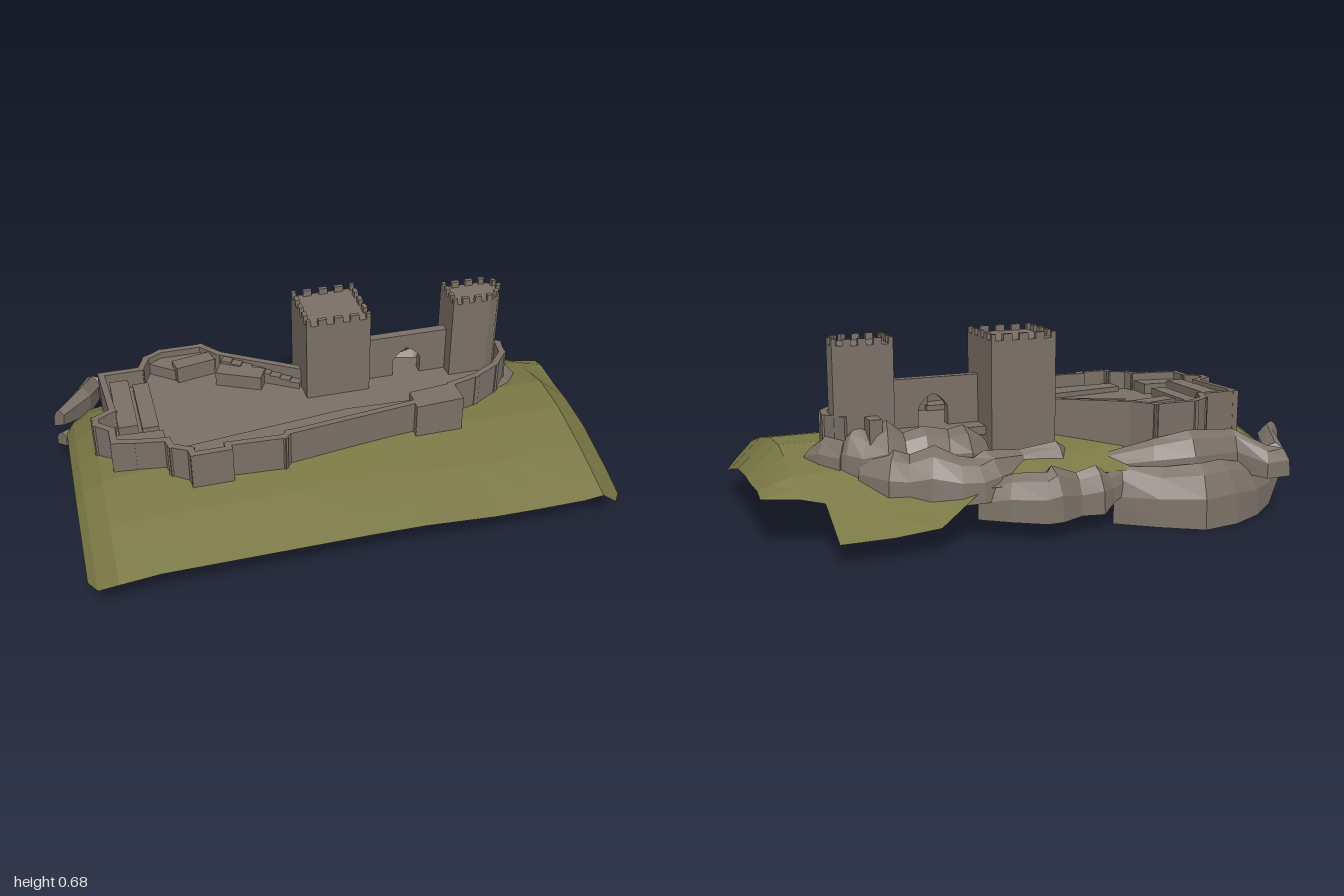
import * as THREE from 'three';

const stone = new THREE.MeshStandardMaterial({ color: 0x7a7066, side: THREE.DoubleSide });
stone.name = 'stone';
const grass = new THREE.MeshStandardMaterial({ color: 0x797744, side: THREE.DoubleSide });
grass.name = 'grass';

// Linear interpolation through [position, value] pairs
function ramp(pairs, t) {
  if (t <= pairs[0][0]) return pairs[0][1];
  for (let i = 1; i < pairs.length; i++) {
    const [a, va] = pairs[i - 1], [b, vb] = pairs[i];
    if (t <= b) return va + (vb - va) * (t - a) / (b - a);
  }
  return pairs[pairs.length - 1][1];
}

function add(parent, name, geometry, material = stone) {
  const mesh = new THREE.Mesh(geometry, material);
  mesh.name = name;
  parent.add(mesh);
  return mesh;
}

// Faceted surface from rows of points
function facets(grid, closed, caps) {
  const pos = [];
  const tri = (...p) => p.forEach(v => pos.push(...v));
  for (let i = 0; i < grid.length - 1; i++) {
    const n = grid[i].length;
    for (let j = 0; j < (closed ? n : n - 1); j++) {
      const k = (j + 1) % n;
      const a = grid[i][j], b = grid[i][k], c = grid[i + 1][k], d = grid[i + 1][j];
      tri(a, b, c);
      tri(a, c, d);
    }
  }
  if (caps) {
    const s = grid[0], e = grid[grid.length - 1];
    for (let j = 1; j < s.length - 1; j++) {
      tri(s[0], s[j + 1], s[j]);
      tri(e[0], e[j], e[j + 1]);
    }
  }
  const g = new THREE.BufferGeometry();
  g.setAttribute('position', new THREE.Float32BufferAttribute(pos, 3));
  g.computeVertexNormals();
  return g;
}

// Upright prism on an [x, z] outline
function prism(points, y0, y1) {
  const shape = new THREE.Shape(points.map(([x, z]) => new THREE.Vector2(x, -z)));
  const g = new THREE.ExtrudeGeometry(shape, { depth: y1 - y0, bevelEnabled: false });
  return g.rotateX(-Math.PI / 2).translate(0, y0, 0);
}

// Straight wall block from p to q
function wall(p, q, thick, y0, y1, extend = 0) {
  const dx = q[0] - p[0], dz = q[1] - p[1];
  const g = new THREE.BoxGeometry(Math.hypot(dx, dz) + extend, y1 - y0, thick);
  g.rotateY(-Math.atan2(dz, dx));
  return g.translate((p[0] + q[0]) / 2, (y0 + y1) / 2, (p[1] + q[1]) / 2);
}

// Tower with flat roof and merlons
function tower(name, outline, base, spacing) {
  const group = new THREE.Group();
  group.name = name;
  add(group, name + 'Body', prism(outline, base, 0.657));
  outline.forEach((p, i) => {
    const q = outline[(i + 1) % outline.length];
    const dx = q[0] - p[0], dz = q[1] - p[1], len = Math.hypot(dx, dz);
    const at = t => [p[0] + dx * t + dz / len * 0.008, p[1] + dz * t - dx / len * 0.008];
    const n = Math.max(1, Math.round(len / spacing));
    for (let k = 0; k <= n; k++) {
      const lo = Math.max(0, (k - 0.27) / n), hi = Math.min(1, (k + 0.27) / n);
      add(group, name + 'Merlon', wall(at(lo), at(hi), 0.016, 0.657, 0.68));
    }
  });
  return group;
}

// Craggy ridge through stations [x, z, bottom, top, depth]
function crag(stations) {
  const section = [[0, 0], [0.06, 0.5], [0.3, 0.85], [0.6, 1], [1, 0.75], [0.85, 0.15]];
  return facets(stations.map(([x, z, y0, y1, d], i) => {
    const a = stations[Math.max(0, i - 1)], b = stations[Math.min(stations.length - 1, i + 1)];
    const tx = b[0] - a[0], tz = b[1] - a[1], l = Math.hypot(tx, tz);
    return section.map(([o, h]) => [x - tz / l * o * d, y0 + (y1 - y0) * h, z + tx / l * o * d]);
  }), true, true);
}

// Height of the hill, steeper at the back of its east half
function ground(x, z) {
  const west = [[-0.42, 0.19], [-0.3, 0.25], [-0.15, 0.285], [0.05, 0.3], [0.2, 0.3], [0.4, 0.255], [0.62, 0.195]];
  const east = [[-0.51, 0.08], [-0.35, 0.155], [-0.2, 0.235], [0.03, 0.29], [0.2, 0.28], [0.4, 0.235], [0.62, 0.17]];
  const mix = ramp([[0.15, 0], [0.5, 1]], x);
  const westDrop = ramp([[-0.96, 0.1], [-0.93, 0.06], [-0.86, 0.015], [-0.72, 0]], x);
  const eastDrop = ramp([[0.88, 0], [1, 1]], x) * ramp([[-0.26, 0.02], [0, 0.1], [0.52, 0.12]], z);
  return ramp(west, z) * (1 - mix) + ramp(east, z) * mix - westDrop - eastDrop;
}

// Hillside sheet, its rows clamped to the front and back outlines
function hillside() {
  const xs = [-0.96, -0.93, -0.86, -0.72, -0.55, -0.38, -0.2, 0, 0.2, 0.27, 0.46, 0.62, 0.8, 0.801, 0.88, 0.95, 1];
  const zs = [-0.51, -0.42, -0.35, -0.3, -0.26, -0.2, -0.15, -0.06, 0.03, 0.12, 0.2, 0.3, 0.4, 0.52, 0.62];
  const front = [[-0.96, 0.52], [-0.93, 0.59], [-0.86, 0.62], [0.86, 0.62], [0.95, 0.59], [1, 0.52]];
  const back = [[-0.96, -0.33], [-0.75, -0.42], [0.2, -0.42], [0.27, -0.4], [0.46, -0.51], [0.8, -0.51], [0.801, -0.33], [1, -0.26]];
  return facets(xs.map(x => zs.map(row => {
    const z = Math.min(Math.max(row, ramp(back, x)), ramp(front, x));
    return [x, ground(x, z), z];
  })), false, false);
}

export function createModel() {
  const model = new THREE.Group();
  model.name = 'hilltopCastle';
  add(model, 'hillside', hillside(), grass);

  // Cliff rocks behind the castle
  const cliffs = {
    lowerWestCliff: [[-1, -0.33, 0.09, 0.16, 0.06], [-0.87, -0.44, 0, 0.16, 0.12], [-0.75, -0.54, 0, 0.19, 0.14],
      [-0.62, -0.6, 0, 0.22, 0.15], [-0.48, -0.62, 0, 0.22, 0.15], [-0.34, -0.53, 0, 0.2, 0.14], [-0.21, -0.43, 0, 0.2, 0.09]],
    upperWestCliff: [[-1, -0.3, 0.2, 0.28, 0.05], [-0.92, -0.41, 0.15, 0.3, 0.08], [-0.87, -0.56, 0.14, 0.26, 0.1],
      [-0.77, -0.56, 0.14, 0.25, 0.1], [-0.7, -0.47, 0.15, 0.3, 0.1], [-0.5, -0.51, 0.15, 0.32, 0.12],
      [-0.36, -0.45, 0.15, 0.29, 0.1], [-0.22, -0.36, 0.15, 0.24, 0.06]],
    middleCliff: [[-0.32, -0.4, 0.12, 0.2, 0.06], [-0.2, -0.46, 0.09, 0.19, 0.06], [-0.14, -0.505, 0.065, 0.23, 0.1],
      [-0.06, -0.49, 0.065, 0.21, 0.08], [0.03, -0.53, 0.065, 0.25, 0.12], [0.09, -0.53, 0.065, 0.23, 0.12],
      [0.2, -0.46, 0.065, 0.22, 0.12], [0.29, -0.39, 0.065, 0.18, 0.08]],
    lowerEastCliff: [[-0.13, -0.26, 0.18, 0.25, 0.05], [-0.06, -0.34, 0.17, 0.29, 0.08], [0.08, -0.33, 0.16, 0.27, 0.08],
      [0.2, -0.4, 0.13, 0.29, 0.15], [0.27, -0.42, 0.13, 0.27, 0.15], [0.35, -0.42, 0.13, 0.28, 0.16], [0.45, -0.39, 0.13, 0.32, 0.16],
      [0.52, -0.35, 0.13, 0.29, 0.13], [0.59, -0.34, 0.13, 0.31, 0.13], [0.67, -0.25, 0.16, 0.3, 0.1]],
    upperEastCliff: [[0.19, -0.27, 0.2, 0.32, 0.08], [0.28, -0.33, 0.2, 0.37, 0.14], [0.35, -0.29, 0.2, 0.35, 0.13],
      [0.43, -0.3, 0.2, 0.37, 0.14], [0.5, -0.28, 0.2, 0.35, 0.13], [0.57, -0.29, 0.2, 0.4, 0.14], [0.65, -0.25, 0.2, 0.36, 0.12],
      [0.7, -0.21, 0.2, 0.38, 0.12], [0.76, -0.15, 0.21, 0.33, 0.12]],
    eastPointRocks: [[0.72, -0.2, 0.2, 0.35, 0.1], [0.78, -0.14, 0.22, 0.35, 0.1], [0.82, -0.08, 0.23, 0.31, 0.1],
      [0.76, 0.0, 0.25, 0.31, 0.08], [0.69, 0.055, 0.26, 0.3, 0.05]],
  };
  for (const [name, stations] of Object.entries(cliffs)) add(model, name, crag(stations));

  // Curtain wall around the courtyard, running from the east tip round the front to the keep
  const ring = [[0.74, -0.1], [0.73, -0.03], [0.67, 0.04], [0.57, 0.095], [0.46, 0.125], [0.46, 0.215], [0.3, 0.225], [0.3, 0.2], [-0.2, 0.26],
    [-0.22, 0.28], [-0.42, 0.27], [-0.42, 0.295], [-0.545, 0.295], [-0.55, 0.265], [-0.61, 0.23], [-0.62, 0.19],
    [-0.74, 0.17], [-0.8, 0.155], [-0.8, 0.08], [-0.85, 0.035], [-0.85, 0], [-0.785, -0.035], [-0.8, -0.28],
    [-0.65, -0.28], [-0.62, -0.35], [-0.56, -0.385], [-0.4, -0.385], [-0.34, -0.31], [-0.06, -0.13]];
  const curtain = (p, q) => {
    const base = Math.min(ground(...p), ground(...q)) - 0.01;
    add(model, 'curtainWall', wall(p, q, 0.024, base, 0.415, 0.024));
  };
  for (let i = 1; i < ring.length; i++) curtain(ring[i - 1], ring[i]);
  curtain([0.69, -0.16], [0.74, -0.1]);
  add(model, 'courtyard', prism([...ring, [0.18, -0.12], [0.18, -0.2], [0.53, -0.2], [0.69, -0.16]], 0.315, 0.345));

  // Wall walk, bastions, sheds and steps inside the wall
  add(model, 'wallWalk', prism([[-0.55, 0.26], [-0.2, 0.25], [0.3, 0.2], [0.3, 0.12], [0.06, 0.11], [-0.55, 0.18]], 0.335, 0.365));
  add(model, 'frontBastion', prism([[0.29, 0.235], [0.47, 0.225], [0.47, 0.12], [0.29, 0.14]], 0.27, 0.415));
  add(model, 'westBastion', prism([[-0.62, -0.35], [-0.56, -0.385], [-0.4, -0.385], [-0.35, -0.31], [-0.52, -0.27]], 0.33, 0.39));
  add(model, 'backBuilding', wall([-0.52, -0.28], [-0.37, -0.31], 0.06, 0.33, 0.41));
  add(model, 'westShed', wall([-0.74, -0.24], [-0.74, 0.06], 0.07, 0.33, 0.4));
  add(model, 'lowShed', wall([-0.66, -0.24], [-0.66, 0.05], 0.06, 0.33, 0.375));
  add(model, 'cornerTurret', prism([[-0.8, 0.155], [-0.62, 0.18], [-0.62, 0.09], [-0.8, 0.08]], 0.33, 0.385));
  add(model, 'stairBlock', wall([-0.36, -0.23], [-0.2, -0.15], 0.07, 0.33, 0.4));
  for (let i = 0; i < 8; i++) {
    const t = i / 8, p = [-0.33 + 0.27 * t, -0.28 + 0.17 * t];
    add(model, 'step', wall(p, [p[0] + 0.034, p[1] + 0.021], 0.05, 0.33, 0.412 - 0.006 * i));
  }

  // Keep and gate tower
  model.add(tower('keep', [[-0.06, -0.02], [0.185, -0.02], [0.185, -0.257], [-0.06, -0.257]], 0.24, 0.06));
  model.add(tower('gateTower', [[0.512, -0.03], [0.66, -0.03], [0.7, -0.055], [0.728, -0.1], [0.72, -0.145], [0.675, -0.172], [0.512, -0.172]], 0.25, 0.05));
  add(model, 'stairTurret', wall([0.575, -0.2], [0.62, -0.2], 0.07, 0.24, 0.41));

  // Wall between the towers with a pointed archway
  const gate = new THREE.Shape();
  gate.moveTo(0.17, 0.26);
  gate.lineTo(0.3, 0.26);
  gate.lineTo(0.3, 0.41);
  gate.quadraticCurveTo(0.315, 0.445, 0.355, 0.462);
  gate.quadraticCurveTo(0.395, 0.445, 0.41, 0.41);
  gate.lineTo(0.41, 0.26);
  gate.lineTo(0.53, 0.26);
  gate.lineTo(0.53, 0.52);
  gate.lineTo(0.17, 0.52);
  const gateGeometry = new THREE.ExtrudeGeometry(gate, { depth: 0.035, bevelEnabled: false, curveSegments: 5 });
  add(model, 'gateWall', gateGeometry.translate(0, 0, -0.12));
  return model;
}
